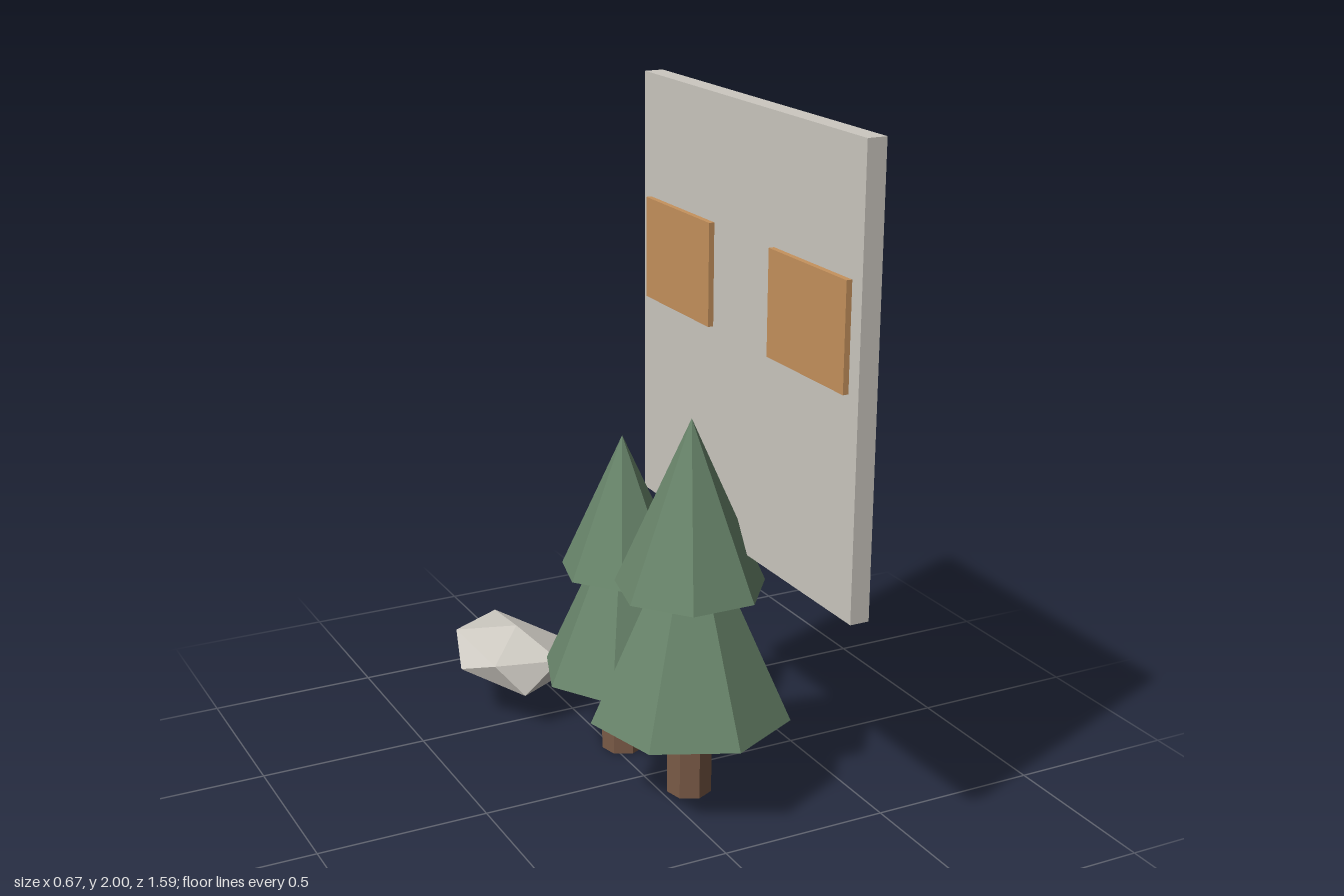
import * as THREE from 'three';
import { ConvexGeometry } from 'three/addons/geometries/ConvexGeometry.js';

const mat = (name, color) => new THREE.MeshStandardMaterial({ name, color, flatShading: true });

export function createModel() {
  const model = new THREE.Group();
  model.name = 'treesRockAndBoard';

  const stone = mat('stone', 0xcfcbc3);
  const plaster = mat('plaster', 0xccc8c0);
  const panelWood = mat('panelWood', 0xc6925d);
  const bark = mat('bark', 0x7a5a46);
  const needles = mat('needles', 0x68846a);

  const add = (parent, name, geometry, material, x, y, z) => {
    const mesh = new THREE.Mesh(geometry, material);
    mesh.name = name;
    mesh.position.set(x, y, z);
    parent.add(mesh);
    return mesh;
  };

  // Raised board with two thin wooden panels on its inner side
  add(model, 'board', new THREE.BoxGeometry(0.055, 1.24, 1.155), plaster, 0.2125, 1.38, 0.2175);
  for (const z of [-0.133, 0.562]) {
    add(model, 'panel', new THREE.BoxGeometry(0.016, 0.29, 0.375), panelWood, 0.177, 1.505, z);
  }

  // Fir tree: seven-sided trunk and two stacked cones [radius, bottom, height, turn]
  const addTree = (name, x, z, ground, trunkTop, tiers) => {
    const tree = new THREE.Group();
    tree.name = name;
    tree.position.set(x, 0, z);
    const h = trunkTop - ground;
    add(tree, 'trunk', new THREE.CylinderGeometry(0.065, 0.065, h, 7), bark, 0, ground + h / 2, 0);
    for (const [radius, bottom, height, turn] of tiers) {
      const tier = add(tree, 'foliage', new THREE.ConeGeometry(radius, height, 7), needles, 0, bottom + height / 2, 0);
      tier.rotation.y = turn;
    }
    model.add(tree);
  };
  addTree('tallTree', 0.055, 0.178, 0.03, 0.36, [
    [0.288, 0.275, 0.64, 0.02],
    [0.216, 0.66, 0.49, Math.PI],
  ]);
  addTree('shortTree', 0.033, -0.205, 0, 0.34, [
    [0.245, 0.255, 0.54, 0.32],
    [0.184, 0.58, 0.41, Math.PI - 0.02],
  ]);

  // Rock: a squashed icosahedron, six corners and their opposites
  const corners = [
    [0.02, 0.09, 0.01],
    [-0.145, 0.073, -0.08],
    [0.03, 0.065, -0.187],
    [0.175, 0.01, -0.03],
    [0.09, 0.025, 0.18],
    [-0.11, 0.032, 0.145],
  ].flatMap(([x, y, z]) => [new THREE.Vector3(x, y, z), new THREE.Vector3(-x, -y, -z)]);
  add(model, 'rock', new ConvexGeometry(corners), stone, -0.165, 0.185, -0.605);

  return model;
}
